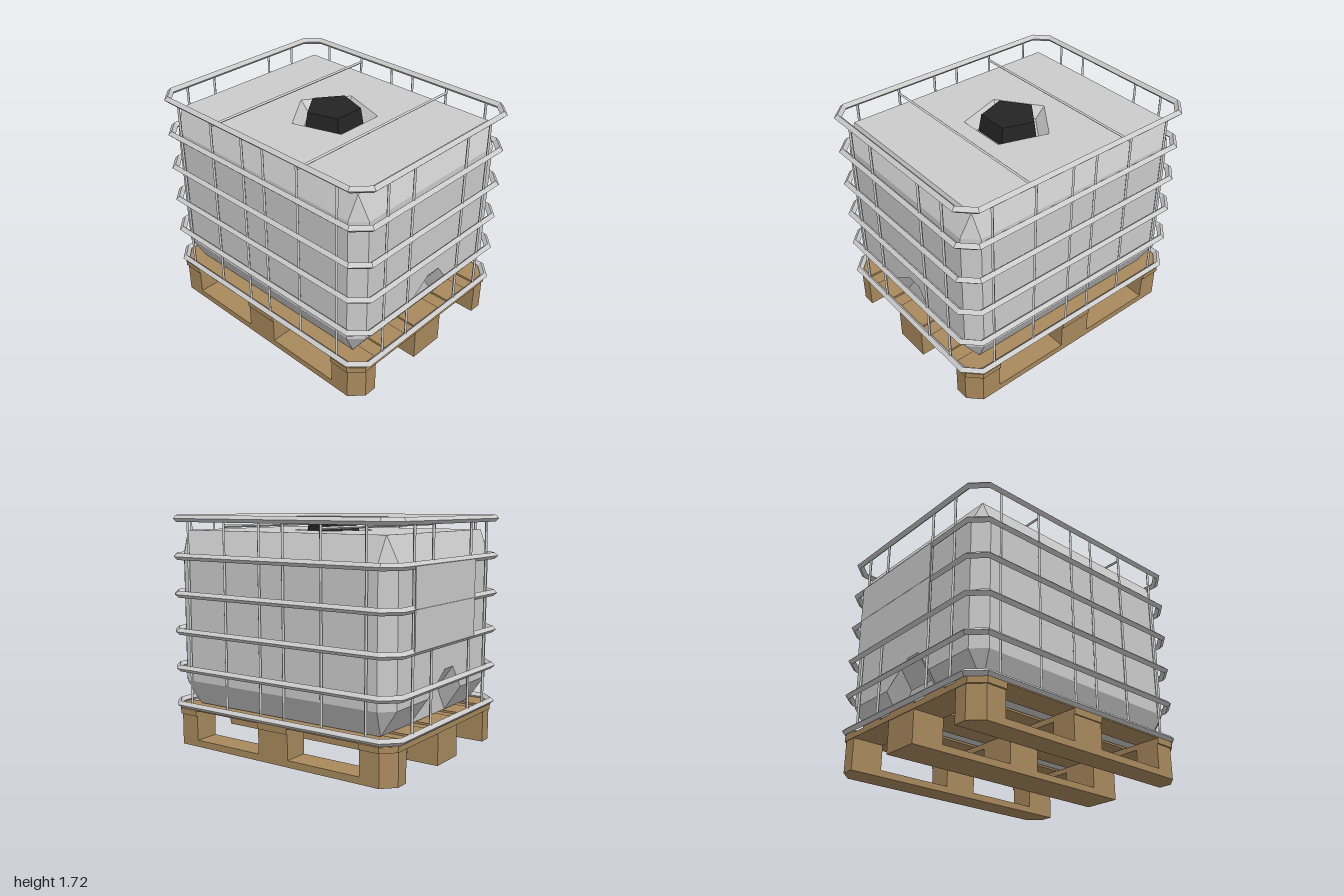
import * as THREE from 'three';

const material = (color) => new THREE.MeshStandardMaterial({ color, flatShading: true, side: THREE.DoubleSide });
const grey = material(0xcccccc), wood = material(0xa8895d), black = material(0x242424);

function add(parent, name, geometry, mat, x = 0, y = 0, z = 0) {
  const mesh = new THREE.Mesh(geometry, mat);
  mesh.name = name;
  mesh.position.set(x, y, z);
  parent.add(mesh);
  return mesh;
}

function group(parent, name) {
  const g = new THREE.Group();
  g.name = name;
  parent.add(g);
  return g;
}

// Triangles from convex polygons given as lists of corners
function fromPolygons(polys) {
  const pos = [];
  for (const p of polys)
    for (let i = 1; i < p.length - 1; i++) pos.push(...p[0], ...p[i], ...p[i + 1]);
  const g = new THREE.BufferGeometry();
  g.setAttribute('position', new THREE.Float32BufferAttribute(pos, 3));
  g.computeVertexNormals();
  return g;
}

// Upright prism over a plan outline of [x, z] corners
function prism(plan, y0, y1) {
  const shape = new THREE.Shape(plan.map(([x, z]) => new THREE.Vector2(x, -z)));
  const g = new THREE.ExtrudeGeometry(shape, { depth: y1 - y0, bevelEnabled: false });
  return g.rotateX(-Math.PI / 2).translate(0, y0, 0);
}

// Rectangle with cut corners, as [x, z] corners
function octagon(hx, hz, c) {
  return [[hx, hz - c], [hx - c, hz], [c - hx, hz], [-hx, hz - c],
    [-hx, c - hz], [c - hx, -hz], [hx - c, -hz], [hx, c - hz]];
}

// Diamond-section hoop with mitred corners
function hoopGeometry() {
  const r = 0.025;
  const loops = [[r, -r], [0, 0], [r, r], [2 * r, 0], [r, -r]].map(([inset, y]) =>
    octagon(0.797 - inset, 1 - inset, 0.115 - 0.586 * inset).map(([x, z]) => [x, y, z]));
  const polys = [];
  for (let j = 0; j < 4; j++)
    for (let i = 0; i < 8; i++) {
      const k = (i + 1) % 8;
      polys.push([loops[j][i], loops[j + 1][i], loops[j + 1][k], loops[j][k]]);
    }
  return fromPolygons(polys);
}

// One quarter of the tank shell, mirrored into all four
function tankGeometry() {
  const A = [0.635, 0.3, 0.8], B = [0.65, 0.49, 0.93], C = [0.74, 0.49, 0.835];
  const D = [0.65, 1.43, 0.93], E = [0.74, 1.43, 0.835], F = [0.675, 1.605, 0.855];
  const n0 = [0.25, 0.3, 0.8], n1 = [0.24, 0.49, 0.93], n2 = [0.115, 0.66, 0.93], m = [0.115, 0.49, 0.81];
  const q = [0.24, 1.43, 0.93];
  const midX = ([, y, z]) => [0, y, z], midZ = ([x, y]) => [x, y, 0];
  const quarter = [
    [n0, A, B, n1], [n1, B, D, q], [n2, n1, q, midX(D), midX(n2)], // end wall
    [midX(D), D, F, midX(F)], // end shoulder
    [A, C, B], [B, C, E, D], [D, E, F], // corner
    [A, midZ(A), midZ(C), C], [C, midZ(C), midZ(E), E], [E, midZ(E), midZ(F), F], // side wall
    [[0, 0.3, 0], midZ(A), A, midX(A)], // underside
    [n1, n2, m, n0], [midX(m), m, n2, midX(n2)], [midX(n0), n0, m, midX(m)], // valve recess
  ];
  const polys = [];
  for (const sx of [1, -1])
    for (const sz of [1, -1])
      for (const p of quarter) {
        const mirrored = p.map(([x, y, z]) => [sx * x, y, sz * z]);
        polys.push(sx * sz < 0 ? mirrored.reverse() : mirrored);
      }
  return fromPolygons(polys);
}

function buildTank(root) {
  const tank = group(root, 'tank');
  add(tank, 'tankShell', tankGeometry(), grey);

  // Top with a five-sided filler well
  const top = new THREE.Shape([[-1, -1], [1, -1], [1, 1], [-1, 1]].map(([x, y]) =>
    new THREE.Vector2(x * 0.675, y * 0.855)));
  const hole = [];
  for (let i = 0; i < 5; i++) {
    const a = Math.PI / 2 + i * Math.PI * 0.4;
    hole.push(new THREE.Vector2(0.32 * Math.cos(a), 0.32 * Math.sin(a)));
  }
  top.holes.push(new THREE.Path(hole));
  add(tank, 'tankTop', new THREE.ShapeGeometry(top).rotateX(-Math.PI / 2), grey, 0, 1.605);
  const well = new THREE.CylinderGeometry(0.32, 0.24, 0.08, 5, 1, true, Math.PI);
  add(tank, 'fillerWell', well, grey, 0, 1.565);
  add(tank, 'wellFloor', new THREE.CylinderGeometry(0.24, 0.24, 0.01, 5, 1, false, Math.PI), grey, 0, 1.525);
  add(tank, 'fillerCap', new THREE.CylinderGeometry(0.2, 0.222, 0.135, 5, 1, false, Math.PI), black, 0, 1.5925);
}

function buildCage(root) {
  const cage = group(root, 'cage');
  const hoop = hoopGeometry();
  for (let i = 0; i < 6; i++) add(cage, 'hoop', hoop, grey, 0, 0.305 + i * 0.277);

  // Uprights on all four sides
  const bar = new THREE.CylinderGeometry(0.011, 0.011, 1.385, 4);
  for (const s of [1, -1])
    for (const t of [1, -1]) {
      for (const x of [0.277, 0.527]) add(cage, 'endUpright', bar, grey, t * x, 0.9975, s * 0.97);
      for (const z of [0.103, 0.418, 0.767]) add(cage, 'sideUpright', bar, grey, s * 0.765, 0.9975, t * z);
    }

  // Bars across the top
  const cross = new THREE.CylinderGeometry(0.011, 0.011, 1.52, 4).rotateZ(Math.PI / 2);
  for (const z of [0.418, -0.418]) add(cage, 'topBar', cross, grey, 0, 1.64, z);

  // Plate on the back
  add(cage, 'backPlate', new THREE.BoxGeometry(0.85, 0.55, 0.008), grey, 0.125, 1.135, -0.995);
}

function buildPallet(root) {
  const pallet = group(root, 'pallet');
  const cut = 0.09;
  const box = (x0, x1, z0, z1) => [[x0, z0], [x1, z0], [x1, z1], [x0, z1]];
  // Plan of a piece that ends in one cut outer corner, or one at each end
  const corner = (x0, x1, z0, z1) => [[x0, z0], [x1, z0], [x1, z1 - cut], [x1 - cut, z1], [x0, z1]];
  const long = (x0, x1, z) => [[x0, -z], [x1 - cut, -z], [x1, cut - z], [x1, z - cut], [x1 - cut, z], [x0, z]];
  const flip = (plan, sx, sz) => plan.map(([x, z]) => [sx * x, sz * z]);
  const piece = (name, plan, y0, y1) => add(pallet, name, prism(plan, y0, y1), wood);

  // Centre line
  piece('centreSkid', box(-0.143, 0.143, -0.96, 0.96), 0, 0.05);
  piece('centreSlat', box(-0.14, 0.14, -0.962, 0.962), 0.275, 0.29);
  piece('centreBlock', box(-0.143, 0.143, -0.13, 0.13), 0.05, 0.235);
  piece('middleCrossBoard', box(-0.775, 0.775, -0.13, 0.13), 0.235, 0.275);

  for (const s of [1, -1]) {
    // Ends
    piece('endBlock', flip(box(-0.143, 0.143, 0.72, 0.96), 1, s), 0.05, 0.235);
    const [x, z] = [0.778, 0.965];
    piece('endCrossBoard', flip([[-x, 0.72], [x, 0.72], [x, z - cut], [x - cut, z], [cut - x, z], [-x, z - cut]], 1, s), 0.235, 0.275);
    // Sides
    piece('sideSkid', flip(long(0.575, 0.765, 0.96), s, 1), 0, 0.05);
    piece('sideBlock', flip(box(0.575, 0.765, -0.13, 0.13), s, 1), 0.05, 0.235);
    piece('innerSlat', flip(box(0.25, 0.46, -0.962, 0.962), s, 1), 0.275, 0.29);
    piece('outerSlat', flip(long(0.57, 0.775, 0.962), s, 1), 0.275, 0.29);
    for (const t of [1, -1])
      piece('cornerBlock', flip(corner(0.575, 0.765, 0.72, 0.96), s, t), 0.05, 0.235);
  }
}

export function createModel() {
  const root = new THREE.Group();
  root.name = 'palletTank';
  buildPallet(root);
  buildTank(root);
  buildCage(root);
  return root;
}
